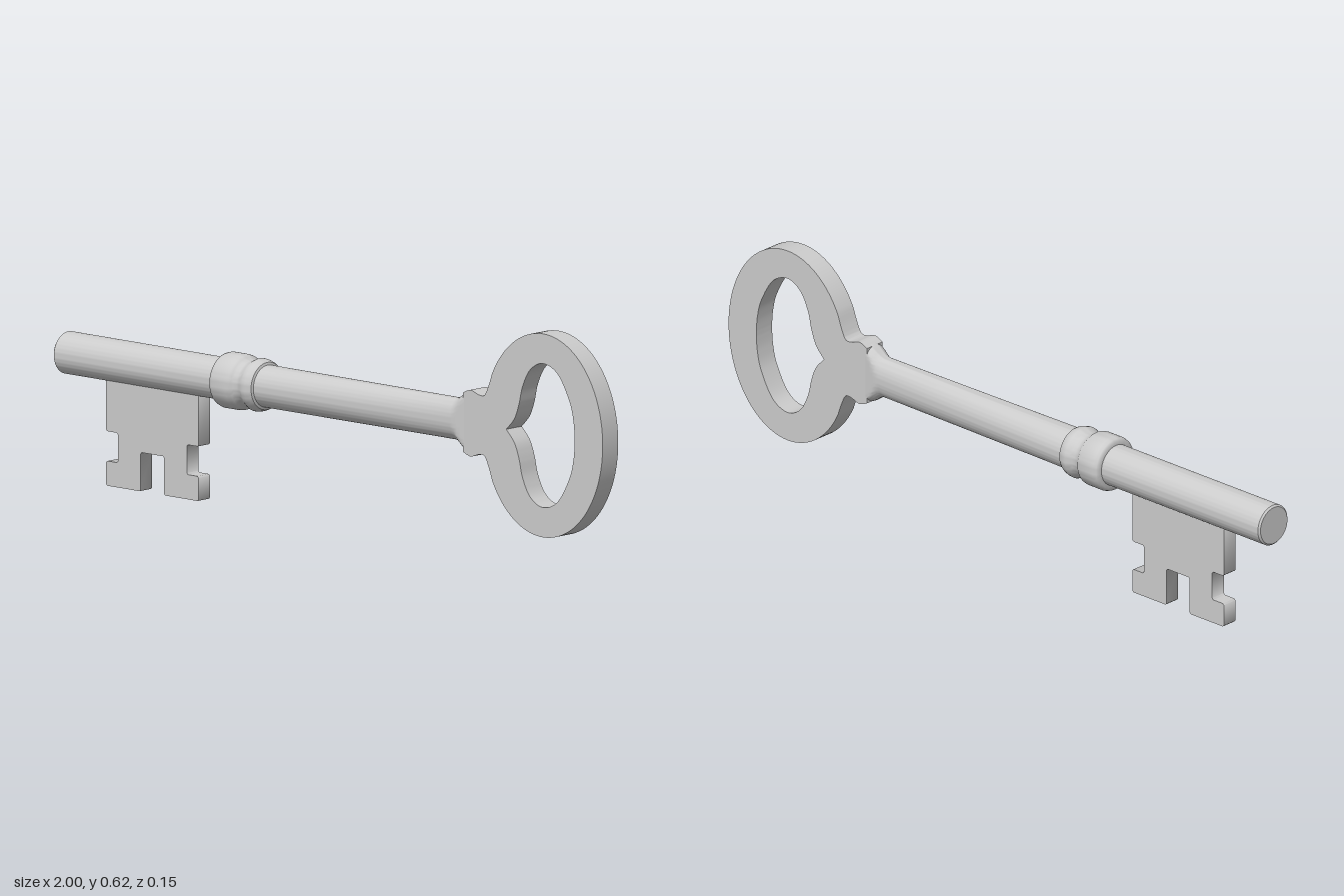
import * as THREE from 'three';
import { toCreasedNormals } from 'three/addons/utils/BufferGeometryUtils.js';

const AXIS_Y = 0.343;

export function createModel() {
  const key = new THREE.Group();
  key.name = 'key';
  const material = new THREE.MeshStandardMaterial({ color: 0xcccccc });

  const add = (name, geometry, crease) => {
    const mesh = new THREE.Mesh(toCreasedNormals(geometry, crease), material);
    mesh.name = name;
    mesh.position.y = AXIS_Y;
    key.add(mesh);
  };

  // Turned part along x; profile points are [x, radius]
  const turned = (profile) =>
    new THREE.LatheGeometry(profile.map(([x, r]) => new THREE.Vector2(r, x)), 64).rotateZ(-Math.PI / 2);

  // Flat plate centred on z = 0
  const plate = (shape, thickness) =>
    new THREE.ExtrudeGeometry(shape, { depth: thickness, bevelEnabled: false })
      .translate(0, 0, -thickness / 2);

  // Smooth curve through [x, y] points
  const smooth = (points, count) =>
    new THREE.SplineCurve(points.map(([x, y]) => new THREE.Vector2(x, y))).getPoints(count);

  // Closed outline (clockwise) from its upper half, mirrored about the shaft axis
  const mirrored = (upper) => {
    const lower = upper.filter((p) => p.y > 1e-6).map((p) => new THREE.Vector2(p.x, -p.y)).reverse();
    return [...upper, ...lower];
  };

  // Small cut across every corner of a closed outline
  const softened = (points, size) => points.flatMap((p, i) => {
    const towards = (q) => p.clone().add(q.clone().sub(p).setLength(size));
    return [towards(points.at(i - 1)), towards(points[(i + 1) % points.length])];
  });

  // Shaft: round at the bit, thinning in z and flaring in y where it meets the bow
  const shaft = turned([
    [-1, 0], [-1, 0.053], [-0.995, 0.058], [-0.25, 0.058], [0.1, 0.058], [0.3, 0.058], [0.44, 0.058],
    [0.452, 0.061], [0.465, 0.07], [0.478, 0.079], [0.49, 0.085], [0.5, 0.086], [0.5, 0],
  ]);
  const pos = shaft.attributes.position;
  for (let i = 0; i < pos.count; i++) {
    const x = pos.getX(i);
    const scale = 1 - 0.38 * THREE.MathUtils.clamp((x + 0.25) / 0.7, 0, 1);
    const limit = THREE.MathUtils.mapLinear(x, 0.45, 0.49, 0.036, 0.031);
    pos.setZ(i, THREE.MathUtils.clamp(pos.getZ(i) * scale, -limit, limit));
  }
  add('shaft', shaft, 0.7);

  // Collar: wide band, groove and narrow ring
  add('collar', turned([
    [-0.413, 0.055], [-0.413, 0.068], [-0.408, 0.074], [-0.398, 0.077], [-0.35, 0.077], [-0.34, 0.075],
    [-0.334, 0.07], [-0.328, 0.066], [-0.318, 0.064], [-0.308, 0.065], [-0.3, 0.069], [-0.291, 0.073],
    [-0.281, 0.072], [-0.27, 0.069], [-0.263, 0.065], [-0.26, 0.055],
  ]), 0.7);

  // Bow: oval ring with a rounded neck and a heart-shaped opening
  const neck = smooth([
    [0.485, 0.081], [0.5, 0.088], [0.517, 0.091], [0.545, 0.082], [0.565, 0.084],
    [0.58, 0.112], [0.593, 0.1475],
  ], 36);
  const start = Math.acos(-0.85);
  const oval = [];
  for (let i = 1; i <= 48; i++) {
    const a = start * (1 - i / 48);
    oval.push(new THREE.Vector2(0.78 + 0.22 * Math.cos(a), 0.28 * Math.sin(a)));
  }
  const opening = mirrored(smooth([
    [0.645, 0], [0.675, 0.033], [0.692, 0.075], [0.705, 0.125], [0.733, 0.175], [0.78, 0.198],
    [0.835, 0.175], [0.878, 0.105], [0.893, 0.05], [0.897, 0],
  ], 60));
  const bow = new THREE.Shape(mirrored([...neck, ...oval]));
  bow.holes.push(new THREE.Path(opening.reverse())); // runs against the outline so its wall faces inward
  add('bow', plate(bow, 0.062), 0.5);

  // Bit: blade with side notches and a bottom slot, mirrored about its middle
  const half = [
    [0.17, -0.03], [0.17, -0.193], [0.127, -0.193], [0.127, -0.275], [0.17, -0.275],
    [0.17, -0.343], [0.043, -0.343], [0.043, -0.236],
  ];
  const outline = [...half, ...half.map(([x, y]) => [-x, y]).reverse()]
    .map(([x, y]) => new THREE.Vector2(x - 0.665, y));
  add('bit', plate(new THREE.Shape(softened(outline, 0.004)), 0.046), 0.9);

  return key;
}
